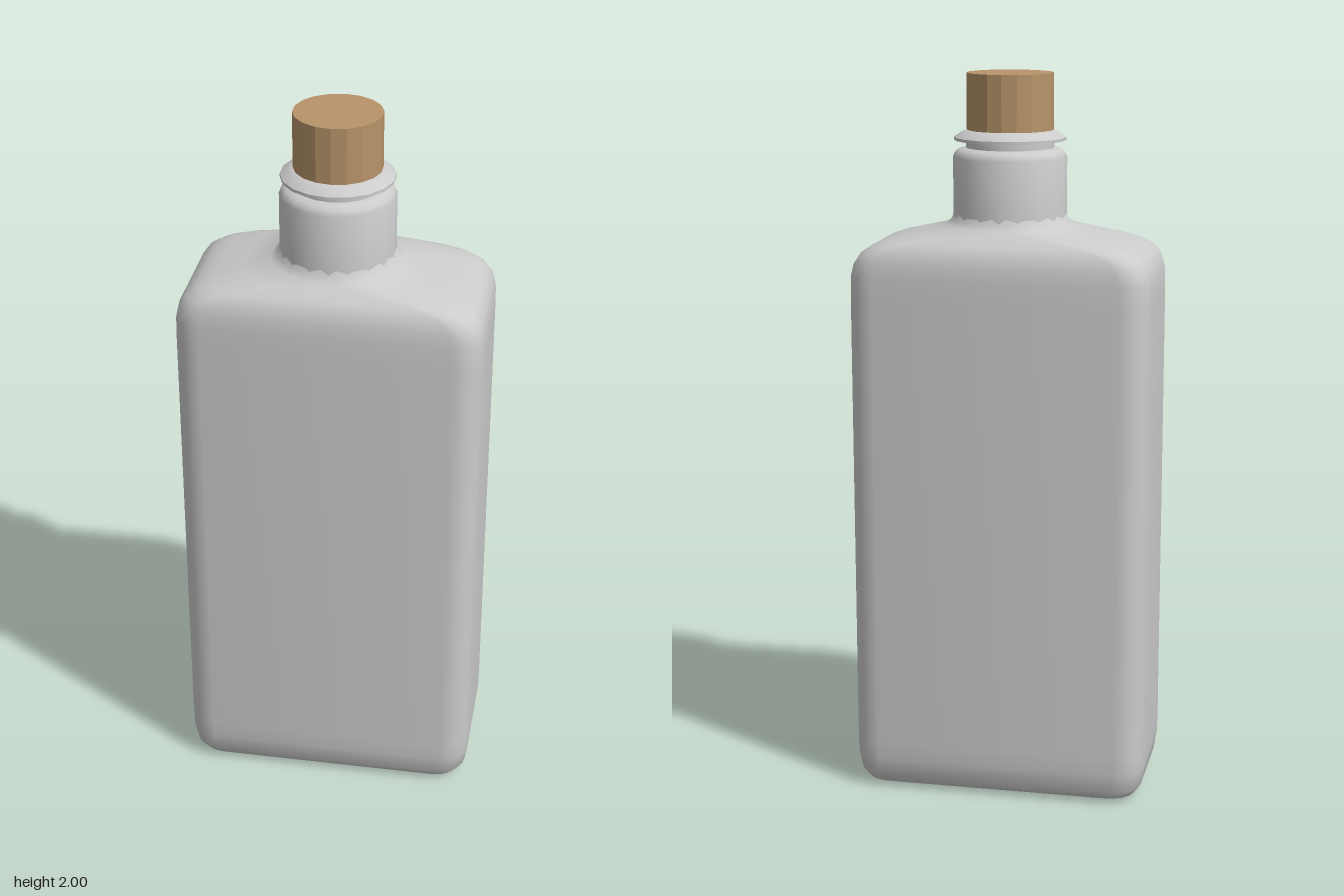
import * as THREE from 'three';
import { toCreasedNormals } from 'three/addons/utils/BufferGeometryUtils.js';

const PER_CORNER = 6, RING = PER_CORNER * 4;

// Rounded rectangle (half sizes hx, hz, corner r) blended towards a circle of radius hx by "round"
function ring(y, hx, hz, r, round = 0) {
  const points = [];
  for (let i = 0; i < RING; i++) {
    const corner = Math.floor(i / PER_CORNER);
    const a = (corner + (i % PER_CORNER) / (PER_CORNER - 1)) * Math.PI / 2;
    const sx = corner === 0 || corner === 3 ? 1 : -1;
    const sz = corner < 2 ? 1 : -1;
    const c = (i + 0.5) / RING * Math.PI * 2;
    points.push(new THREE.Vector3(
      THREE.MathUtils.lerp(sx * (hx - r) + r * Math.cos(a), hx * Math.cos(c), round),
      y,
      THREE.MathUtils.lerp(sz * (hz - r) + r * Math.sin(a), hz * Math.sin(c), round)));
  }
  return points;
}

// Skin over a stack of rings, closed at the bottom
function loft(rings) {
  const position = [], index = [];
  rings.forEach(points => points.forEach(p => position.push(p.x, p.y, p.z)));
  for (let k = 0; k < rings.length - 1; k++) {
    for (let i = 0; i < RING; i++) {
      const j = (i + 1) % RING;
      const a = k * RING + i, b = k * RING + j;
      index.push(a, a + RING, b, b, a + RING, b + RING);
    }
  }
  const centre = position.length / 3;
  position.push(0, rings[0][0].y, 0);
  for (let i = 0; i < RING; i++) index.push(centre, i, (i + 1) % RING);
  const geometry = new THREE.BufferGeometry();
  geometry.setAttribute('position', new THREE.Float32BufferAttribute(position, 3));
  geometry.setIndex(index);
  return toCreasedNormals(geometry, 0.75);
}

export function createModel() {
  const model = new THREE.Group();
  const grey = new THREE.MeshStandardMaterial({ color: 0xcccccc });
  const cork = new THREE.MeshStandardMaterial({ color: 0xb8946a, flatShading: true });

  const add = (name, geometry, material) => {
    const mesh = new THREE.Mesh(geometry, material);
    mesh.name = name;
    model.add(mesh);
    return mesh;
  };

  // Body: shallow base recess, rounded foot, straight walls, sloping shoulders
  add('body', loft([
    ring(0.015, 0.335, 0.148, 0.05),
    ring(0, 0.34, 0.153, 0.05),
    ring(0.003, 0.36, 0.175, 0.06),
    ring(0.014, 0.385, 0.199, 0.07),
    ring(0.038, 0.402, 0.213, 0.075),
    ring(0.09, 0.41, 0.22, 0.075),
    ring(0.14, 0.411, 0.221, 0.075),
    ring(1.4, 0.411, 0.221, 0.075),
    ring(1.46, 0.41, 0.221, 0.075),
    ring(1.495, 0.402, 0.219, 0.077),
    ring(1.522, 0.385, 0.214, 0.08),
    ring(1.541, 0.357, 0.207, 0.085, 0.02),
    ring(1.553, 0.325, 0.2, 0.09, 0.06),
    ring(1.573, 0.25, 0.186, 0.1, 0.35),
    ring(1.592, 0.178, 0.17, 0.13, 0.85),
    ring(1.605, 0.161, 0.16, 0.14, 1),
    ring(1.63, 0.15, 0.15, 0.14, 1),
  ]), grey);

  // Neck with stepped top and flared pouring lip
  const neckProfile = [
    [0.158, 1.6], [0.155, 1.625], [0.155, 1.775], [0.15, 1.787], [0.14, 1.796],
    [0.12, 1.8], [0.12, 1.817], [0.152, 1.82], [0.152, 1.828],
    [0.132, 1.842], [0.118, 1.848], [0, 1.852],
  ].map(([r, y]) => new THREE.Vector2(r, y));
  add('neck', toCreasedNormals(new THREE.LatheGeometry(neckProfile, 18), 0.6), grey);

  // Faceted stopper
  add('stopper', new THREE.CylinderGeometry(0.118, 0.118, 0.155, 18), cork).position.y = 1.9225;

  return model;
}
